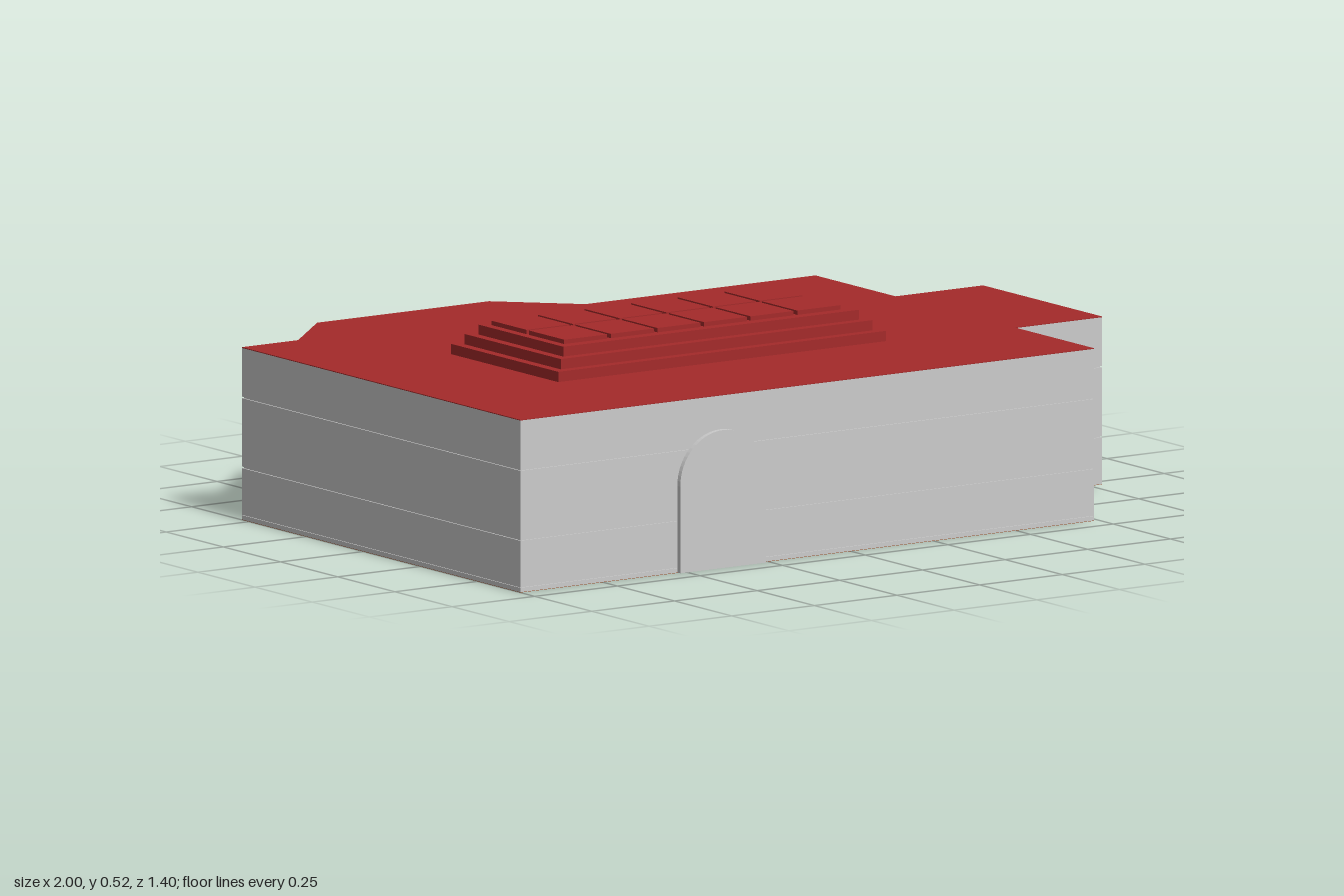
import * as THREE from 'three';

const wallMat = new THREE.MeshStandardMaterial({ color: 0xcccccc, flatShading: true });
const roofMat = new THREE.MeshStandardMaterial({ color: 0xa52a2a, flatShading: true });
const floorMat = new THREE.MeshStandardMaterial({ color: 0xa0522d, flatShading: true });

// Plan outlines as [x, z], counter-clockwise when seen from above
const west = [[-1, 0.687], [0.735, 0.687]];
const wing = [[0.735, 0.34], [1, 0.34], [1, -0.18], [0.735, -0.18]];
const back = [[0.735, -0.53], [0.04, -0.53], [-0.135, -0.7], [-0.655, -0.7], [-0.83, -0.53], [-1, -0.53]];
const fullPlan = [...west, ...wing, ...back];
const mainPlan = [...west, ...back];

// Move every edge of a plan inwards by d
function inset(plan, d) {
  const n = plan.length;
  const normal = (a, b) => {
    const dx = b[0] - a[0], dz = b[1] - a[1], l = Math.hypot(dx, dz);
    return [dz / l, -dx / l];
  };
  return plan.map((p, i) => {
    const u = normal(plan[(i + n - 1) % n], p), v = normal(p, plan[(i + 1) % n]);
    const k = d / (1 + u[0] * v[0] + u[1] * v[1]);
    return [p[0] + (u[0] + v[0]) * k, p[1] + (u[1] + v[1]) * k];
  });
}

function add(parent, name, geometry, material) {
  const mesh = new THREE.Mesh(geometry, material);
  mesh.name = name;
  parent.add(mesh);
  return mesh;
}

// Upright prism over a plan, from height y0 to y1
function slab(parent, name, plan, y0, y1, material) {
  const shape = new THREE.Shape(plan.map(([x, z]) => new THREE.Vector2(x, -z)));
  const geo = new THREE.ExtrudeGeometry(shape, { depth: y1 - y0, bevelEnabled: false });
  geo.rotateX(-Math.PI / 2).translate(0, y0, 0);
  return add(parent, name, geo, material);
}

function box(parent, name, x0, x1, y0, y1, z0, z1, material) {
  const geo = new THREE.BoxGeometry(x1 - x0, y1 - y0, z1 - z0);
  geo.translate((x0 + x1) / 2, (y0 + y1) / 2, (z0 + z1) / 2);
  return add(parent, name, geo, material);
}

export function createModel() {
  const model = new THREE.Group();
  model.name = 'building';

  // Floor, plinth and raised wing floor
  slab(model, 'floor', mainPlan, 0, 0.001, floorMat);
  slab(model, 'plinth', mainPlan, 0.001, 0.012, wallMat);
  box(model, 'plinthEdge', 0.73, 0.736, 0.001, 0.012, -0.18, 0.34, floorMat);
  slab(model, 'wingFloor', wing, 0.012, 0.013, floorMat);

  // Wall courses separated by shallow grooves
  const walls = new THREE.Group();
  walls.name = 'walls';
  model.add(walls);
  const core = inset(fullPlan, 0.004);
  [[0.013, 0.131], [0.135, 0.308], [0.312, 0.435]].forEach(([y0, y1], i) => {
    slab(walls, 'wallCourse' + (i + 1), fullPlan, y0, y1, wallMat);
    if (i < 2) slab(walls, 'wallGroove' + (i + 1), core, y1, y1 + 0.004, wallMat);
  });

  // Flat roof
  slab(model, 'roof', fullPlan, 0.435, 0.437, roofMat);

  // Arched door standing slightly proud of the front wall
  const r = 0.13, doorTop = 0.35;
  const arch = new THREE.Shape();
  arch.moveTo(-r, 0.001);
  arch.lineTo(r, 0.001);
  arch.lineTo(r, doorTop - r);
  arch.absarc(0, doorTop - r, r, 0, Math.PI, false);
  arch.lineTo(-r, 0.001);
  const doorGeo = new THREE.ExtrudeGeometry(arch, { depth: 0.013, bevelEnabled: false, curveSegments: 16 });
  add(model, 'door', doorGeo, wallMat).position.set(-0.395, 0, 0.687);

  // Stepped skylight with a grid of panes
  const skylight = new THREE.Group();
  skylight.name = 'skylight';
  model.add(skylight);
  const heights = [0.437, 0.463, 0.489, 0.514];
  for (let i = 0; i < 3; i++) {
    const s = i * 0.0245;
    box(skylight, 'skylightStep' + (i + 1), -0.627 + s, 0.365 - s, heights[i], heights[i + 1],
      -0.155 + s, 0.314 - s, roofMat);
  }
  const x0 = -0.555, z0 = -0.083, w = 0.141, d = 0.165, gap = 0.011;
  for (let i = 0; i < 6; i++) {
    for (let j = 0; j < 2; j++) {
      const x = x0 + i * w, z = z0 + j * d;
      box(skylight, 'skylightPane', x, x + w - gap, 0.514, 0.525, z, z + d - gap, roofMat);
    }
  }
  return model;
}
